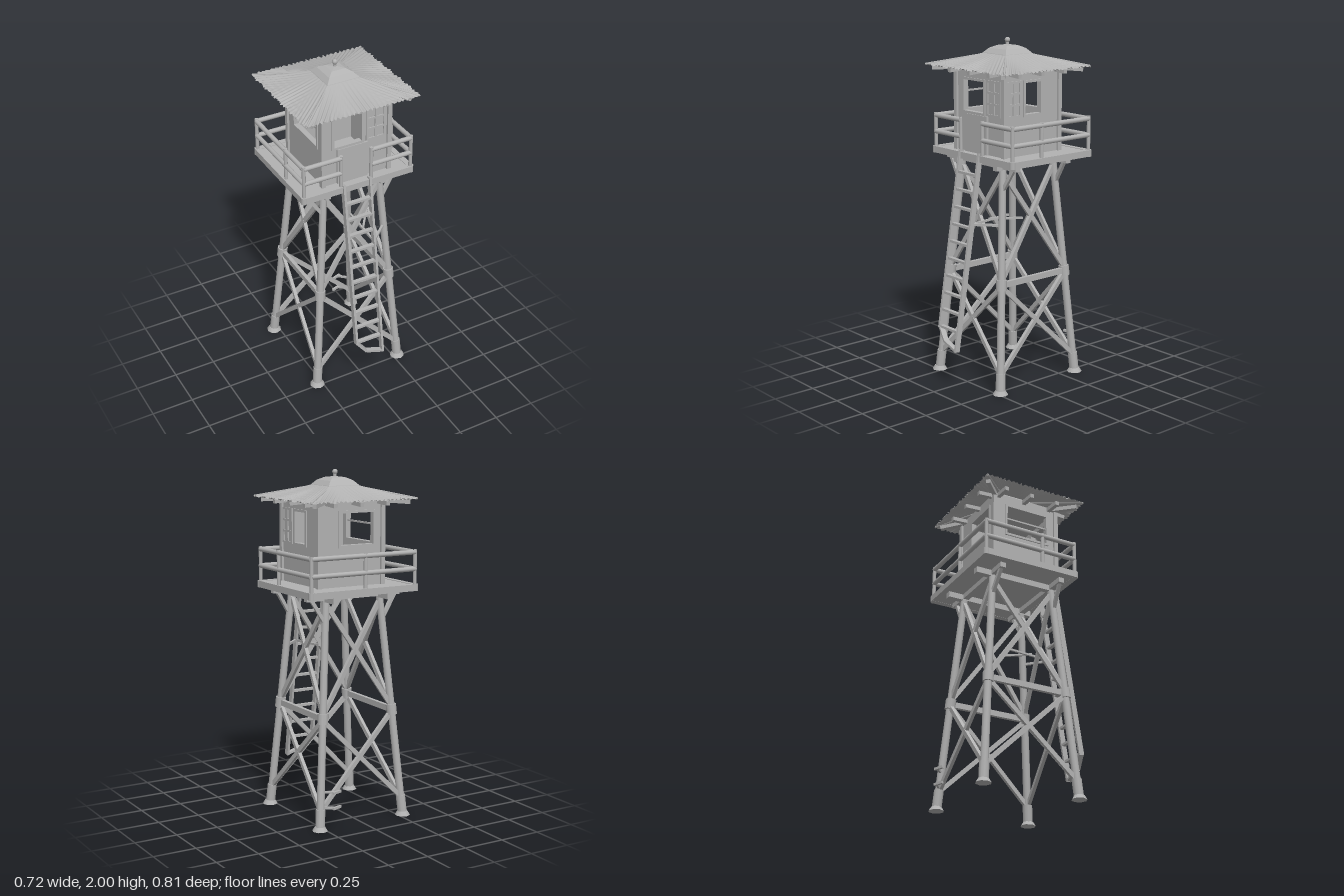
import * as THREE from 'three';

const steel = new THREE.MeshStandardMaterial({ color: 0xb2b2b2 });
steel.name = 'grey steel';
const sheet = steel.clone();
sheet.name = 'grey steel sheet';
sheet.side = THREE.DoubleSide;

const V = (x, y, z) => new THREE.Vector3(x, y, z);

export function createModel() {
  const model = new THREE.Group();
  model.name = 'watchtower';

  function add(name, geometry, material = steel, parent = model) {
    const mesh = new THREE.Mesh(geometry, material);
    mesh.name = name;
    parent.add(mesh);
    return mesh;
  }
  // Box given by its limits
  function block(name, x0, x1, y0, y1, z0, z1) {
    const m = add(name, new THREE.BoxGeometry(x1 - x0, y1 - y0, z1 - z0));
    m.position.set((x0 + x1) / 2, (y0 + y1) / 2, (z0 + z1) / 2);
    return m;
  }
  // Rectangular beam between two points
  function beam(name, a, b, w, h = w) {
    const m = add(name, new THREE.BoxGeometry(w, h, a.distanceTo(b)));
    m.position.copy(a).lerp(b, 0.5);
    m.lookAt(b);
    return m;
  }
  // Round pipe between two points
  function pipe(name, a, b, r, r2 = r) {
    const m = add(name, new THREE.CylinderGeometry(r2, r, a.distanceTo(b), 10));
    m.position.copy(a).lerp(b, 0.5);
    m.quaternion.setFromUnitVectors(V(0, 1, 0), b.clone().sub(a).normalize());
    return m;
  }

  // Legs lean inward; this gives the leg centre at height y
  const leg = (sx, sz, y) => {
    const t = y / 1.32;
    return V(sx * (0.28 - 0.105 * t) + 0.004 * t, y, -0.058 + sz * (0.293 - 0.103 * t));
  };
  for (const sx of [-1, 1]) for (const sz of [-1, 1]) {
    pipe('leg', leg(sx, sz, 0.01), leg(sx, sz, 1.33), 0.023, 0.021);
    pipe('legSleeve', leg(sx, sz, 0.02), leg(sx, sz, 0.12), 0.028);
    pipe('legJoint', leg(sx, sz, 0.6), leg(sx, sz, 0.66), 0.031);
    const f = leg(sx, sz, 0);
    const foot = add('footPad', new THREE.CylinderGeometry(0.03, 0.045, 0.024, 8));
    foot.position.set(f.x, 0.012, f.z);
    // Outward strut carrying the deck
    beam('deckStrut', leg(sx, sz, 1.16), V(sx * 0.29, 1.32, leg(sx, sz, 1.3).z), 0.02);
  }

  // Cross braces on four faces, in two tiers
  const faces = [[[-1, 1], [1, 1]], [[-1, -1], [1, -1]], [[1, 1], [1, -1]], [[-1, 1], [-1, -1]]];
  for (const [p, q] of faces) for (const [y0, y1] of [[0.11, 0.62], [0.65, 1.27]]) {
    beam('crossBrace', leg(...p, y0), leg(...q, y1), 0.02, 0.026);
    beam('crossBrace', leg(...q, y0), leg(...p, y1), 0.02, 0.026);
  }
  for (const sx of [-1, 1]) {
    beam('sideTie', leg(sx, 1, 0.63), leg(sx, -1, 0.63), 0.022, 0.034);
    beam('deckJoist', leg(sx, 1, 1.3).setZ(0.19), leg(sx, -1, 1.3).setZ(-0.36), 0.035, 0.035);
    beam('crossJoist', leg(-1, sx, 1.305).setX(-0.3), leg(1, sx, 1.305).setX(0.31), 0.035, 0.03);
  }
  // Small pegs on a back leg
  for (const y of [0.13, 0.22]) {
    beam('peg', leg(1, -1, y), V(0.2, y, -0.39), 0.012);
    beam('pegTip', V(0.16, y, -0.375), V(0.22, y, -0.395), 0.014);
  }

  // Deck with rounded edge beams
  const L = -0.33, R = 0.345, F = 0.205, B = -0.375;
  block('deck', L, R, 1.322, 1.356, B, F);
  const corners = [[L, F], [L, B], [R, B], [R, F]];
  corners.forEach(([x, z], i) => {
    const [x2, z2] = corners[(i + 1) % 4];
    beam('deckEdge', V(x, 1.34, z), V(x2, 1.34, z2), 0.034, 0.038);
    const knuckle = add('deckCorner', new THREE.CylinderGeometry(0.019, 0.019, 0.04, 10));
    knuckle.position.set(x, 1.34, z);
  });

  // Railing, open at the front for the ladder
  const railPath = [[-0.1, F], ...corners, [0.09, F]];
  for (const y of [1.445, 1.54]) {
    for (let i = 0; i < railPath.length - 1; i++) {
      const [a, b] = [railPath[i], railPath[i + 1]];
      pipe('rail', V(a[0], y, a[1]), V(b[0], y, b[1]), 0.014);
    }
  }
  const posts = [...railPath, [0, B], [L, -0.01], [R, -0.01]];
  for (const [x, z] of posts) pipe('railPost', V(x, 1.34, z), V(x, 1.555, z), 0.011);

  // Cabin walls with window openings
  const X0 = -0.19, X1 = 0.225, Z0 = -0.25, Z1 = 0.16, T = 0.018;
  function wall(name, a, b, holes) {
    const rect = (s, x0, x1, y0, y1) =>
      s.moveTo(x0, y0).lineTo(x1, y0).lineTo(x1, y1).lineTo(x0, y1).closePath();
    const shape = new THREE.Shape();
    rect(shape, a, b, 1.35, 1.84);
    for (const h of holes) {
      const hole = new THREE.Path();
      rect(hole, ...h);
      shape.holes.push(hole);
    }
    const g = new THREE.Group();
    g.name = name;
    model.add(g);
    add(name + 'Panel', new THREE.ExtrudeGeometry(shape, { depth: T, bevelEnabled: false }), steel, g);
    // Frame around each opening
    for (const [x0, x1, y0, y1] of holes) {
      for (const [w, h, x, y] of [
        [x1 - x0 + 0.02, 0.014, (x0 + x1) / 2, y0 - 0.003], [x1 - x0 + 0.02, 0.014, (x0 + x1) / 2, y1 + 0.003],
        [0.014, y1 - y0, x0 - 0.003, (y0 + y1) / 2], [0.014, y1 - y0, x1 + 0.003, (y0 + y1) / 2]]) {
        add('windowFrame', new THREE.BoxGeometry(w, h, T + 0.014), steel, g).position.set(x, y, T / 2);
      }
    }
    return g;
  }
  // Six-pane shutter lattice standing proud of a wall
  function lattice(g, x0, x1, z) {
    const y0 = 1.585, y1 = 1.775;
    for (let i = 0; i < 3; i++) {
      const x = x0 + (x1 - x0) * i / 2;
      add('shutterBar', new THREE.BoxGeometry(0.012, y1 - y0, 0.014), steel, g).position.set(x, (y0 + y1) / 2, z);
    }
    for (let i = 0; i < 4; i++) {
      const y = y0 + (y1 - y0) * i / 3;
      add('shutterBar', new THREE.BoxGeometry(x1 - x0 + 0.012, 0.012, 0.014), steel, g).position.set((x0 + x1) / 2, y, z);
    }
  }
  const front = wall('frontWall', X0, X1, [[-0.125, 0.055, 1.585, 1.77]]);
  front.position.z = Z1 - T;
  lattice(front, 0.085, 0.195, T);
  wall('backWall', X0, X1, [[-0.13, 0.09, 1.585, 1.77]]).position.z = Z0;
  const right = wall('rightWall', Z0, Z1, [[-0.11, 0.012, 1.585, 1.77]]);
  right.rotation.y = -Math.PI / 2;
  right.position.x = X1;
  lattice(right, 0.045, 0.14, 0);
  const left = wall('leftWall', Z0, Z1, [[-0.17, 0.1, 1.585, 1.77]]);
  left.rotation.y = -Math.PI / 2;
  left.position.x = X0 + T;
  beam('windowBar', V(X0 + T / 2, 1.69, -0.17), V(X0 + T / 2, 1.69, 0.1), 0.01);
  block('door', -0.103, 0.088, 1.356, 1.575, Z1, Z1 + 0.012);
  for (const x of [X0, X1]) for (const z of [Z0, Z1]) {
    block('cornerPost', x - 0.013, x + 0.013, 1.35, 1.83, z - 0.013, z + 0.013);
  }
  block('ceiling', X0, X1, 1.805, 1.82, Z0, Z1);

  // Eave beams and rafter stubs
  const CX = 0.004, CZ = -0.055;
  for (const s of [-1, 1]) {
    for (const k of [-0.17, 0, 0.17]) {
      beam('rafter', V(CX + k, 1.825, CZ + s * 0.18), V(CX + k, 1.818, CZ + s * 0.29), 0.024);
      beam('rafter', V(CX + s * 0.18, 1.825, CZ + k), V(CX + s * 0.3, 1.818, CZ + k), 0.024);
    }
    for (const u of [-1, 1]) {
      beam('hipRafter', V(CX + s * 0.19, 1.83, CZ + u * 0.19), V(CX + s * 0.31, 1.822, CZ + u * 0.3), 0.024);
    }
  }

  // Corrugated hip roof: four sheets, ribs running down the slope
  const roofY = (t) => 1.84 + 0.065 * (1 - t) + 0.012 * (1 - t) ** 3;
  for (let side = 0; side < 4; side++) {
    const [half, out] = side % 2 ? [0.328, 0.35] : [0.35, 0.328];
    const g = new THREE.PlaneGeometry(2, 1, 160, 8);
    const p = g.attributes.position;
    for (let i = 0; i < p.count; i++) {
      const u = p.getX(i), t = 0.5 - p.getY(i);
      const s = u * (0.08 + (half - 0.08) * t);
      const ease = Math.min(1, (1 - Math.abs(u)) * 8);
      const rib = Math.sin(s * 230) * ease;
      const ragged = t > 0.99 ? 0.008 * Math.sin(s * 230 + 1) * Math.cos(s * 61) * ease : 0;
      p.setXYZ(i, s, roofY(t) + 0.0045 * rib * t, 0.08 + (out - 0.08) * t + ragged);
    }
    g.computeVertexNormals();
    const m = add('roofSheet', g, sheet);
    m.rotation.y = side * Math.PI / 2;
    m.position.set(CX, 0, CZ);
  }
  for (const sx of [-1, 1]) for (const sz of [-1, 1]) {
    pipe('hipRidge', V(CX + sx * 0.345, 1.84, CZ + sz * 0.323), V(CX + sx * 0.09, 1.903, CZ + sz * 0.09), 0.007);
  }

  // Square domed cap with a finial
  const profile = [[0.152, 1.895], [0.14, 1.912], [0.105, 1.938], [0.06, 1.954], [0, 1.96]]
    .map(([r, y]) => new THREE.Vector2(r, y));
  const capGeo = new THREE.LatheGeometry(profile, 4, Math.PI / 4).toNonIndexed();
  capGeo.computeVertexNormals();
  add('roofCap', capGeo, sheet).position.set(CX, 0, CZ);
  pipe('finialStem', V(CX, 1.95, CZ), V(CX, 1.98, CZ), 0.01);
  const knob = add('finialKnob', new THREE.SphereGeometry(0.016, 8, 6));
  knob.position.set(CX, 1.984, CZ);

  // Leaning ladder with a bent bottom rung
  const ladderZ = (y) => 0.39 - (y - 0.235) * 0.158;
  const at = (x, y) => V(x, y, ladderZ(y));
  beam('ladderRail', at(-0.09, 0.34), at(-0.09, 1.37), 0.014, 0.032);
  beam('ladderRail', at(0.076, 0.235), at(0.076, 1.37), 0.014, 0.032);
  for (let i = 0; i < 10; i++) {
    const y = 0.35 + i * 0.0995;
    beam('rung', at(-0.09, y), at(0.076, y), 0.024, 0.014);
  }
  beam('bentRung', at(-0.09, 0.35), at(-0.03, 0.275), 0.03, 0.014);
  beam('bentRung', at(-0.03, 0.275), at(0.08, 0.24), 0.03, 0.014);
  // Braces tying the ladder to the tower
  beam('ladderBrace', at(0.076, 0.97), leg(1, 1, 0.97), 0.014);
  beam('ladderBrace', V(0.076, 0.985, 0.15), V(0.19, 0.985, -0.01), 0.012);
  beam('ladderBrace', at(0.076, 0.97), V(0.076, 0.985, 0.0), 0.012);

  return model;
}
